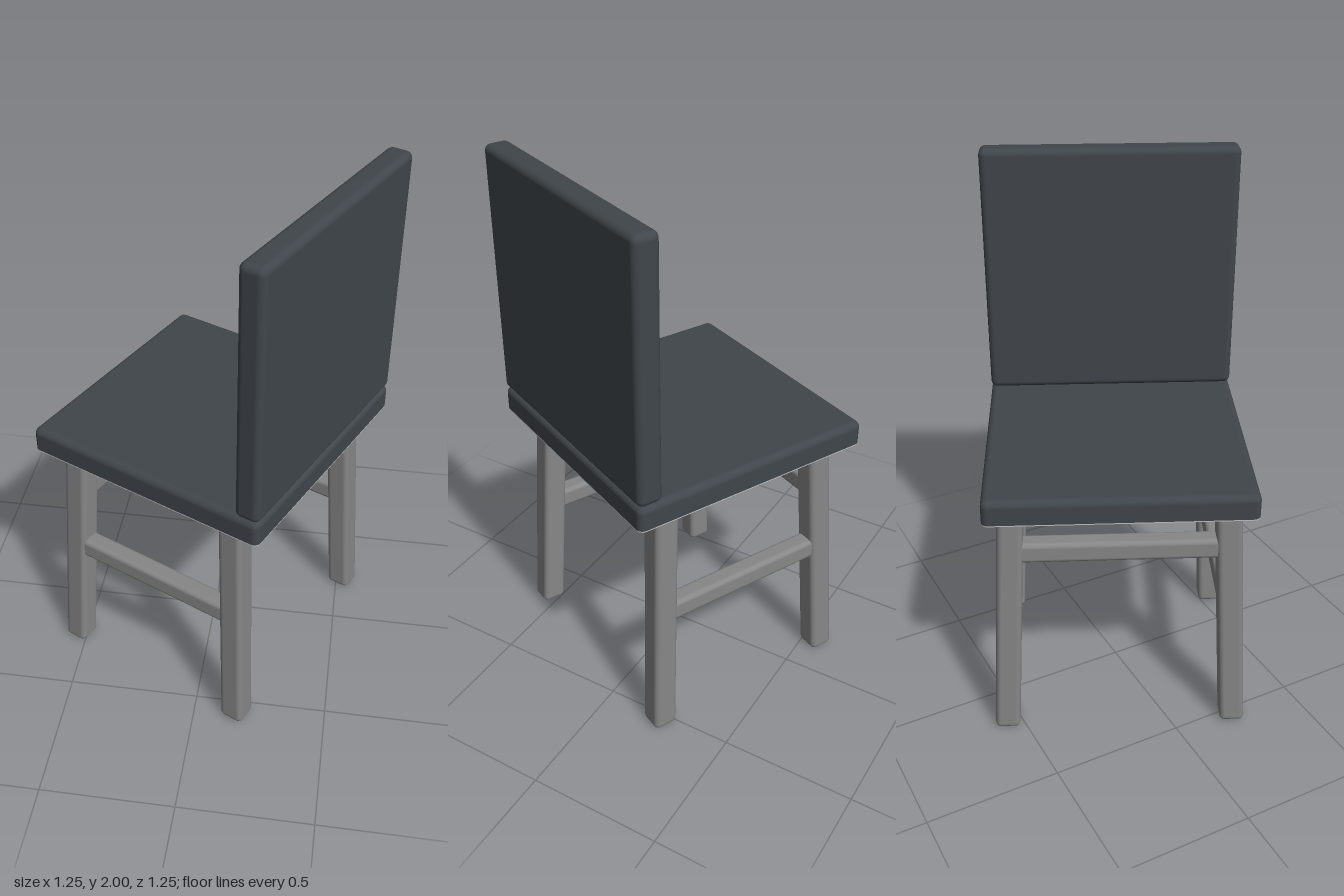
import * as THREE from 'three';
import { RoundedBoxGeometry } from 'three/addons/geometries/RoundedBoxGeometry.js';

const SIZE = 0.954;   // seat side
const ROUND = 0.025;  // cushion edge radius
const BASE = 0.96;    // underside of the seat

// Half spacing of the leg centres at a given height (legs splay outward)
const legX = (y) => 0.43 - 0.049 * y;
const legZ = (y) => 0.379 - 0.048 * y;

function roundedSquare(half, r) {
  const s = new THREE.Shape();
  const k = half - r;
  s.absarc(k, k, r, 0, Math.PI / 2);
  s.absarc(-k, k, r, Math.PI / 2, Math.PI);
  s.absarc(-k, -k, r, Math.PI, Math.PI * 1.5);
  s.absarc(k, -k, r, Math.PI * 1.5, Math.PI * 2);
  s.closePath();
  return s;
}

export function createModel() {
  const root = new THREE.Group();
  root.name = 'chair';
  const chair = new THREE.Group();
  chair.name = 'chairBody';
  chair.rotation.y = THREE.MathUtils.degToRad(-115);
  root.add(chair);

  const makeMaterial = (name, color) => {
    const material = new THREE.MeshStandardMaterial({ color });
    material.name = name;
    return material;
  };
  const cushion = makeMaterial('darkSlate', 0x40464b);
  const frame = makeMaterial('grey', 0x878787);
  const lining = makeMaterial('lightGrey', 0xc1c1c1);

  const add = (name, geometry, material, x = 0, y = 0, z = 0) => {
    const mesh = new THREE.Mesh(geometry, material);
    mesh.name = name;
    mesh.position.set(x, y, z);
    chair.add(mesh);
  };

  // Seat: rounded slab whose lower rounding is flattened to a crisp edge
  const seatH = 0.09 + ROUND;
  const seat = new RoundedBoxGeometry(SIZE, seatH, SIZE, 4, ROUND);
  const p = seat.attributes.position;
  const cut = -seatH / 2 + ROUND;
  for (let i = 0; i < p.count; i++) p.setY(i, Math.max(p.getY(i), cut));
  add('seat', seat, cushion, 0, BASE - cut, 0);

  // Pale underside panel
  const panel = new THREE.ExtrudeGeometry(roundedSquare(SIZE / 2, ROUND), {
    depth: 0.004, bevelEnabled: false, curveSegments: 6,
  });
  panel.rotateX(Math.PI / 2);
  add('seatUnderside', panel, lining, 0, BASE, 0);

  // Backrest
  add('backrest', new RoundedBoxGeometry(SIZE, 0.95, 0.095, 4, ROUND), cushion,
    0, 1.525, -SIZE / 2 + 0.0475);

  // Splayed legs: upright rounded bars sheared outward toward the floor
  const addLeg = (name, sx, sz, height) => {
    const g = new RoundedBoxGeometry(0.093, height, 0.093, 3, 0.02);
    g.translate(0, height / 2, 0);
    const v = g.attributes.position;
    for (let i = 0; i < v.count; i++) {
      const y = v.getY(i);
      v.setX(i, v.getX(i) + sx * legX(y));
      v.setZ(i, v.getZ(i) + sz * legZ(y));
    }
    add(name, g, frame);
  };
  for (const [side, sx] of [['left', 1], ['right', -1]]) {
    addLeg(side + 'FrontLeg', sx, 1, 1.0);
    addLeg(side + 'BackLeg', sx, -1, 0.956);

    // Low side stretchers
    add(side + 'Stretcher', new RoundedBoxGeometry(0.075, 0.08, 2 * legZ(0.51), 3, 0.018),
      frame, sx * legX(0.51), 0.51, 0);
  }

  // Higher front stretcher
  add('frontStretcher', new RoundedBoxGeometry(2 * legX(0.77), 0.08, 0.075, 3, 0.018),
    frame, 0, 0.77, legZ(0.77));

  return root;
}
